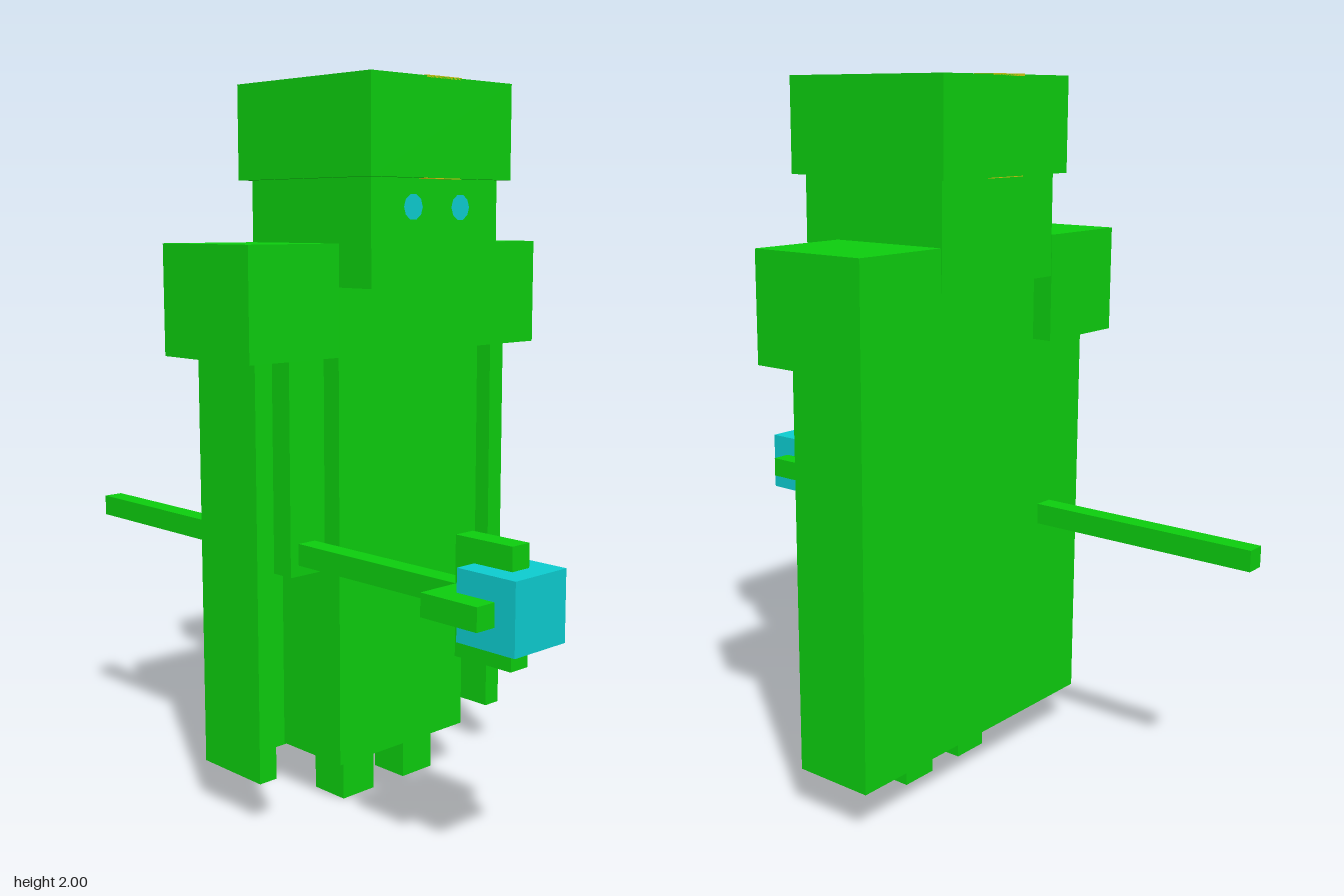
import * as THREE from 'three';

const paint = (name, color) => {
  const m = new THREE.MeshStandardMaterial({ color });
  m.name = name;
  return m;
};

export function createModel() {
  const model = new THREE.Group();
  model.name = 'blockFigure';
  const green = paint('green', 0x0ccc0e);
  const cyan = paint('cyan', 0x0ccbce);
  const yellow = paint('yellow', 0xcbc70e);

  // Box given by its extents on each axis
  const block = (name, material, [x0, x1], [y0, y1], [z0, z1], parent = model) => {
    const mesh = new THREE.Mesh(new THREE.BoxGeometry(x1 - x0, y1 - y0, z1 - z0), material);
    mesh.position.set((x0 + x1) / 2, (y0 + y1) / 2, (z0 + z1) / 2);
    mesh.name = name;
    parent.add(mesh);
    return mesh;
  };
  // Extent mirrored to the chosen side
  const side = (s, a, b) => (s > 0 ? [a, b] : [-b, -a]);

  // Head, hat and torso
  block('torso', green, [-0.245, 0.245], [0.135, 1.455], [-0.12, 0.12]);
  block('head', green, [-0.24, 0.24], [1.455, 1.74], [-0.24, 0.24]);
  block('hat', green, [-0.267, 0.267], [1.74, 2], [-0.267, 0.267]);

  // Cape: back panel, its neck piece, and side walls below
  block('capeBack', green, [-0.48, 0.48], [0.13, 1.27], [-0.18, -0.12]);
  block('capeNeck', green, [-0.245, 0.245], [1.27, 1.455], [-0.18, -0.12]);

  for (const s of [1, -1]) {
    const label = s > 0 ? 'left' : 'right';
    block(label + 'Shoulder', green, side(s, 0.243, 0.547), [1.27, 1.57], [-0.24, 0.12]);
    block(label + 'Arm', green, side(s, 0.245, 0.367), [0.68, 1.27], [-0.06, 0.06]);
    block(label + 'CapeWall', green, side(s, 0.425, 0.482), [0.13, 1.27], [-0.18, 0.06]);
    block(label + 'Leg', green, side(s, 0.06, 0.178), [0, 0.135], [-0.06, 0.06]);

    // Eye discs
    const eye = new THREE.Mesh(new THREE.CircleGeometry(0.035, 10), cyan);
    eye.position.set(s * 0.09, 1.665, 0.243);
    eye.name = label + 'Eye';
    model.add(eye);
  }

  // Yellow inlays on the hat, front and back, showing above and below
  for (const s of [1, -1]) {
    const x = [-0.067, 0.067];
    block('hatInlayTop', yellow, x, [1.996, 2.002], side(s, 0.2, 0.267));
    block('hatInlayBottom', yellow, x, [1.738, 1.744], side(s, 0.2, 0.266));
  }

  // Long staff with a cross-shaped head around a cube
  const staff = new THREE.Group();
  staff.name = 'staff';
  model.add(staff);
  block('staffRod', green, [-0.339, -0.281], [0.71, 0.77], [-0.877, 0.7], staff);
  block('crossBar', green, [-0.46, -0.16], [0.71, 0.77], [0.637, 0.815], staff);
  block('crossPost', green, [-0.34, -0.28], [0.59, 0.89], [0.637, 0.815], staff);
  block('staffCube', cyan, [-0.4, -0.22], [0.65, 0.83], [0.697, 0.877], staff);

  return model;
}
